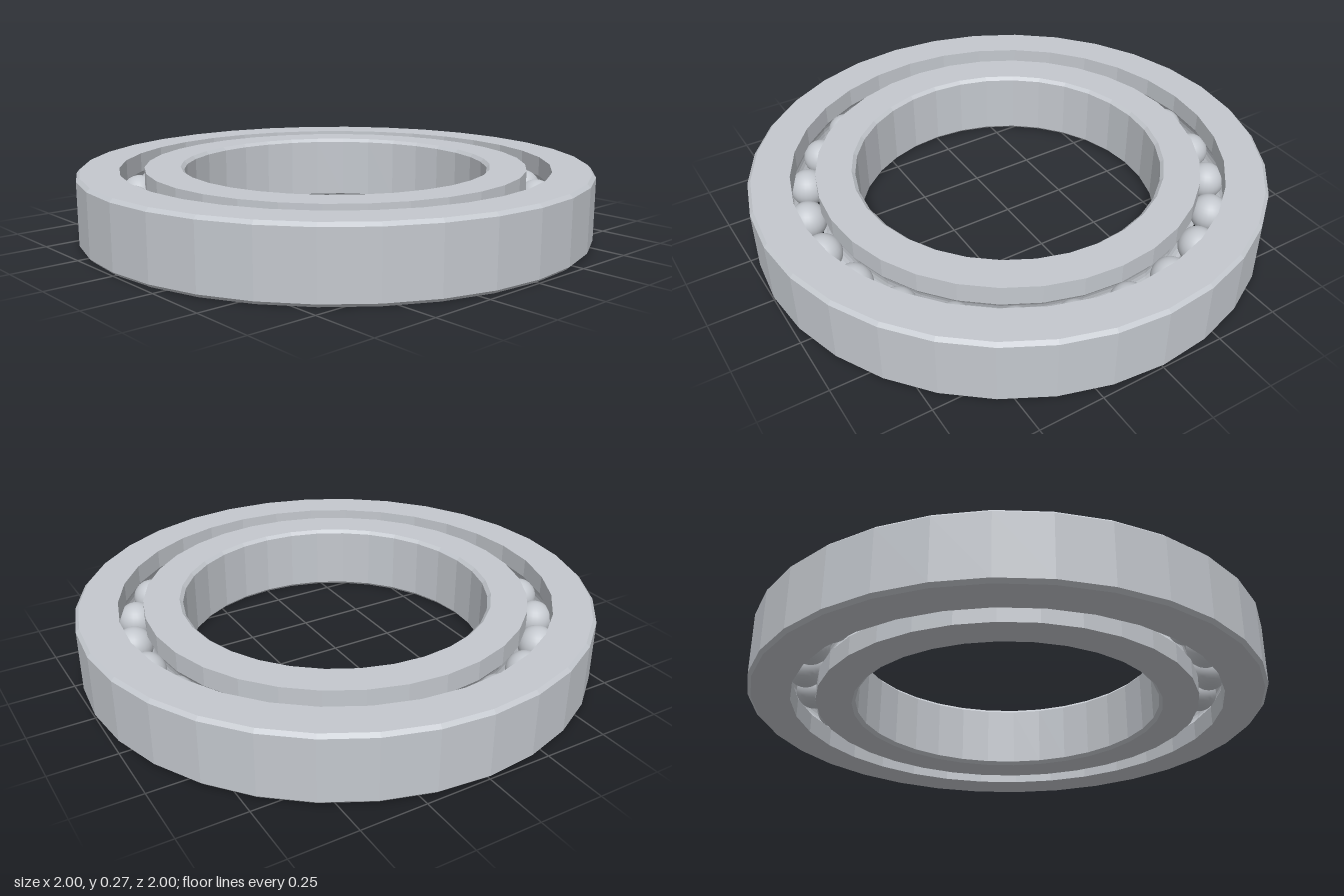
import * as THREE from 'three';

const HEIGHT = 0.266, MID = HEIGHT / 2;
const CHAMFER = 0.013;
const PITCH = 0.792;          // radius of the circle the balls run on
const BALL = 0.072, GROOVE = 0.074;
const SIDES = 32, BALLS = 24;

// Points of a race groove, swept around the ball centre
function grooveArc(wall) {
  const a = Math.acos(Math.abs(wall - PITCH) / GROOVE);
  const side = Math.sign(wall - PITCH);
  const points = [];
  for (let i = 0; i <= 8; i++) {
    const t = -a + (2 * a * i) / 8;
    points.push([PITCH + side * GROOVE * Math.cos(t), MID + GROOVE * Math.sin(t)]);
  }
  return points; // from bottom to top
}

// Faceted ring turned from a closed, counter-clockwise profile
function ring(profile, material, name) {
  const points = [...profile, profile[0]].map(([x, y]) => new THREE.Vector2(x, y));
  const geometry = new THREE.LatheGeometry(points, SIDES).toNonIndexed();
  geometry.computeVertexNormals();
  const mesh = new THREE.Mesh(geometry, material);
  mesh.name = name;
  return mesh;
}

export function createModel() {
  const group = new THREE.Group();
  group.name = 'ballBearing';
  const steel = new THREE.MeshStandardMaterial({ color: 0xc4c8ce });
  steel.name = 'steel';

  // Outer ring: chamfered outside, grooved inside
  const outerWall = 0.84;
  group.add(ring([
    [outerWall, 0], [1 - CHAMFER, 0], [1, CHAMFER],
    [1, HEIGHT - CHAMFER], [1 - CHAMFER, HEIGHT], [outerWall, HEIGHT],
    ...grooveArc(outerWall).reverse(),
  ], steel, 'outerRing'));

  // Inner ring: grooved outside, chamfered bore
  const innerWall = 0.745, bore = 0.594;
  group.add(ring([
    [bore + CHAMFER, 0], [innerWall, 0],
    ...grooveArc(innerWall),
    [innerWall, HEIGHT], [bore + CHAMFER, HEIGHT],
    [bore, HEIGHT - CHAMFER], [bore, CHAMFER],
  ], steel, 'innerRing'));

  // Balls evenly spaced between the rings
  const balls = new THREE.Group();
  balls.name = 'balls';
  const ballGeometry = new THREE.SphereGeometry(BALL, 24, 16);
  for (let i = 0; i < BALLS; i++) {
    const a = (i / BALLS) * Math.PI * 2;
    const ball = new THREE.Mesh(ballGeometry, steel);
    ball.name = 'ball';
    ball.position.set(PITCH * Math.sin(a), MID, PITCH * Math.cos(a));
    balls.add(ball);
  }
  group.add(balls);
  return group;
}
